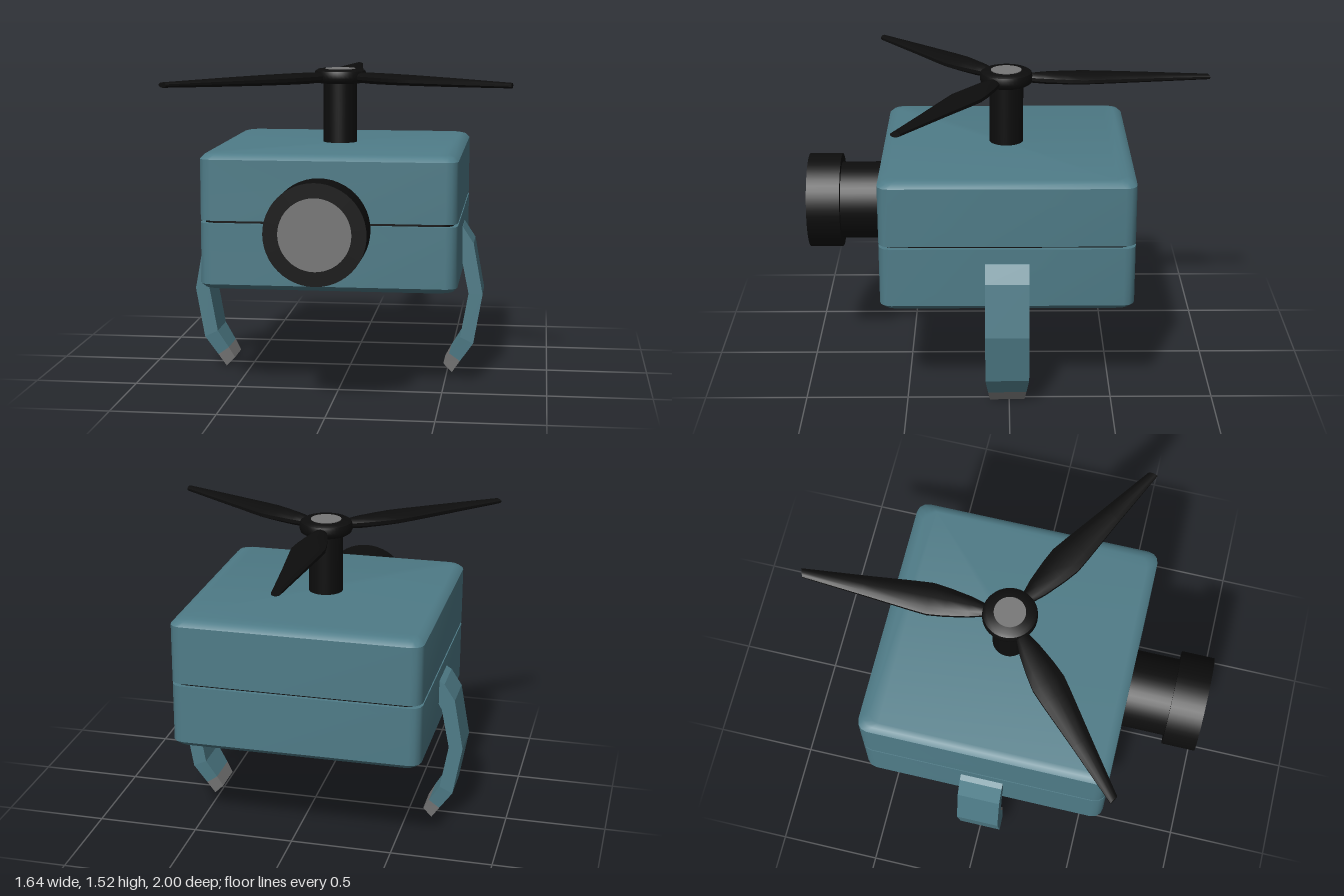
import * as THREE from 'three';
import { toCreasedNormals } from 'three/addons/utils/BufferGeometryUtils.js';

const mat = (color) => new THREE.MeshStandardMaterial({ color });
const CX = -0.045, CZ = 0.01; // shared centre axis of body, rotor and legs

// Skin a closed solid through equal-length rings, with fan caps at both ends
function loft(rings, crease = 0.6) {
  const pos = [];
  const tri = (...pts) => pts.forEach((p) => pos.push(p.x, p.y, p.z));
  const n = rings[0].length;
  for (let r = 0; r < rings.length - 1; r++) {
    const a = rings[r], b = rings[r + 1];
    for (let i = 0; i < n; i++) {
      const j = (i + 1) % n;
      tri(a[i], a[j], b[j]);
      tri(a[i], b[j], b[i]);
    }
  }
  const first = rings[0], last = rings[rings.length - 1];
  for (let i = 1; i < n - 1; i++) {
    tri(first[0], first[i + 1], first[i]);
    tri(last[0], last[i], last[i + 1]);
  }
  const geo = new THREE.BufferGeometry();
  geo.setAttribute('position', new THREE.Float32BufferAttribute(pos, 3));
  geo.computeVertexNormals();
  return toCreasedNormals(geo, crease);
}

// Horizontal rounded-square outline at height y, shrunk by inset
function squareRing(y, inset) {
  const pts = [], half = 0.612 - inset, radius = 0.055;
  for (let q = 0; q < 4; q++) {
    const sx = q === 0 || q === 3 ? 1 : -1, sz = q < 2 ? -1 : 1;
    for (let s = 0; s <= 3; s++) {
      const a = (q + s / 3) * Math.PI / 2;
      pts.push(new THREE.Vector3(
        sx * (half - radius) + radius * Math.cos(a), y,
        sz * (half - radius) - radius * Math.sin(a)));
    }
  }
  return pts;
}

export function createModel() {
  const model = new THREE.Group();
  const teal = mat(0x4f7c88), black = mat(0x0d0d0d), grey = mat(0x777777);
  const add = (name, geo, material, parent, x = 0, y = 0, z = 0) => {
    const mesh = new THREE.Mesh(geo, material);
    mesh.name = name;
    mesh.position.set(x, y, z);
    parent.add(mesh);
    return mesh;
  };

  // Body: two shells with eased outer edges, dark seam between them
  const body = new THREE.Group();
  body.name = 'body';
  body.position.set(-0.039, 0, CZ);
  model.add(body);
  const edge = [[0, 0.045], [0.007, 0.02], [0.028, 0]]; // [distance from face, inset]
  add('lowerShell', loft([
    ...edge.map(([d, i]) => squareRing(0.503 + d, i)), squareRing(0.824, 0)]), teal, body);
  add('upperShell', loft([
    squareRing(0.837, 0), ...edge.slice().reverse().map(([d, i]) => squareRing(1.155 - d, i))]), teal, body);
  add('seam', loft([squareRing(0.815, 0.02), squareRing(0.845, 0.02)]), black, body);

  // Camera lens on the front
  const lens = new THREE.Group();
  lens.name = 'cameraLens';
  lens.position.set(CX, 0.841, 0);
  lens.rotation.x = Math.PI / 2;
  model.add(lens);
  add('lensBarrel', new THREE.CylinderGeometry(0.193, 0.193, 0.3, 48), black, lens, 0, 0.69, 0);
  add('lensRing', new THREE.CylinderGeometry(0.235, 0.235, 0.164, 48), black, lens, 0, 0.917, 0);
  add('lensGlass', new THREE.CylinderGeometry(0.167, 0.167, 0.02, 48), grey, lens, 0, 0.991, 0);

  // Rotor: shaft, rounded hub, cap and three tapered blades
  const rotor = new THREE.Group();
  rotor.name = 'rotor';
  rotor.position.set(-0.05, 0, CZ);
  model.add(rotor);
  add('shaft', new THREE.CylinderGeometry(0.084, 0.084, 0.34, 40), black, rotor, 0, 1.3, 0);
  const hub = [[0, 1.45], [0.11, 1.45], [0.125, 1.46], [0.13, 1.475], [0.13, 1.495],
    [0.125, 1.51], [0.11, 1.519], [0, 1.519]].map(([x, y]) => new THREE.Vector2(x, y));
  add('hub', toCreasedNormals(new THREE.LatheGeometry(hub, 40), 0.7), black, rotor);
  add('hubCap', new THREE.CylinderGeometry(0.075, 0.075, 0.02, 40), grey, rotor, 0, 1.512, 0);

  // Blade stations: [distance from hub, half width, half thickness]
  const stations = [[0.08, 0.025, 0.02], [0.13, 0.035, 0.025], [0.19, 0.053, 0.028], [0.3, 0.074, 0.028],
    [0.38, 0.084, 0.027], [0.46, 0.077, 0.026], [0.7, 0.051, 0.021], [0.998, 0.022, 0.013]];
  const bladeGeo = loft(stations.map(([r, w, t]) => {
    const ring = [];
    for (let i = 0; i < 10; i++) {
      const a = i / 10 * Math.PI * 2, side = Math.sin(a);
      const slant = r > 0.9 ? side * 0.008 : 0; // obliquely cut tip
      ring.push(new THREE.Vector3(r + slant, Math.cos(a) * t, side * w));
    }
    return ring;
  }), 0.7);
  [-91, 30, 139].forEach((deg) => {
    const blade = add('blade', bladeGeo, black, rotor, 0, 1.479, 0);
    blade.rotation.y = -THREE.MathUtils.degToRad(deg);
  });

  // Legs: curved strips; stations are [outer x, outer y, inner x, inner y, half depth]
  const legPath = [[0.59, 0.77, 0.545, 0.71, 0.106], [0.626, 0.748, 0.575, 0.69, 0.106],
    [0.68, 0.665, 0.617, 0.61, 0.106], [0.727, 0.408, 0.657, 0.411, 0.106],
    [0.683, 0.157, 0.617, 0.188, 0.106], [0.617, 0.062, 0.563, 0.1, 0.094]];
  const footPath = [legPath[5], [0.577, 0.002, 0.533, 0.046, 0.085]];
  const strip = (path) => loft(path.map(([ox, oy, ix, iy, d]) => [
    new THREE.Vector3(ox, oy, d), new THREE.Vector3(ix, iy, d),
    new THREE.Vector3(ix, iy, -d), new THREE.Vector3(ox, oy, -d)]), 0.1);
  const legGeo = strip(legPath), footGeo = strip(footPath);
  ['leftLeg', 'rightLeg'].forEach((name, i) => {
    const leg = new THREE.Group();
    leg.name = name;
    leg.position.set(-0.051, 0, CZ);
    leg.rotation.y = i * Math.PI;
    model.add(leg);
    add('legStrip', legGeo, teal, leg);
    add('footPad', footGeo, grey, leg);
  });

  return model;
}
